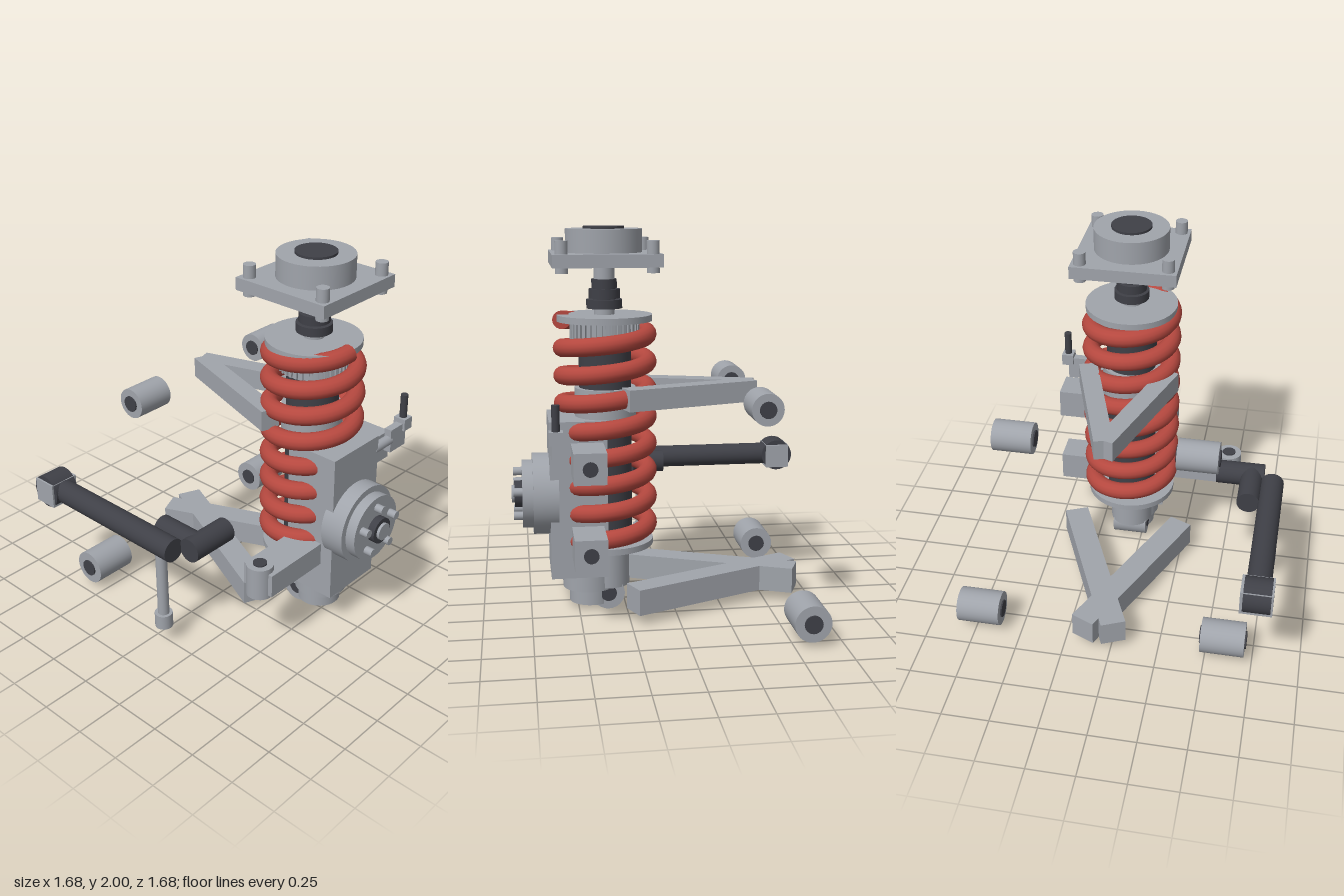
import * as THREE from 'three';

const steel = new THREE.MeshStandardMaterial({ color: 0xa0a4ab });
steel.name = 'steel grey';
const rubber = new THREE.MeshStandardMaterial({ color: 0x3f4047 });
rubber.name = 'dark rubber';
const red = new THREE.MeshStandardMaterial({ color: 0xb5483f });
red.name = 'spring red';

// strut axis position
const SX = 0.345, SZ = -0.066;

export function createModel() {
  const root = new THREE.Group();
  root.name = 'suspensionCorner';

  const add = (name, geo, mat, x = 0, y = 0, z = 0, parent = root) => {
    const m = new THREE.Mesh(geo, mat);
    m.name = name;
    m.position.set(x, y, z);
    parent.add(m);
    return m;
  };
  // box given by its minimum and maximum on each axis
  const box = (name, mat, x0, x1, y0, y1, z0, z1) =>
    add(name, new THREE.BoxGeometry(x1 - x0, y1 - y0, z1 - z0), mat,
      (x0 + x1) / 2, (y0 + y1) / 2, (z0 + z1) / 2);
  // cylinder from a to b along an axis; (u, v) are the other two coordinates in x, y, z order
  const cyl = (name, mat, axis, r, a, b, u, v, seg = 32) => {
    const g = new THREE.CylinderGeometry(r, r, b - a, seg);
    const c = (a + b) / 2;
    if (axis === 'x') return add(name, g.rotateZ(-Math.PI / 2), mat, c, u, v);
    if (axis === 'z') return add(name, g.rotateX(Math.PI / 2), mat, u, v, c);
    return add(name, g, mat, u, c, v);
  };
  const onStrut = (name, mat, r, y0, y1) => cyl(name, mat, 'y', r, y0, y1, SX, SZ, 40);

  // top mount
  box('mountPlate', steel, SX - 0.272, SX + 0.272, 1.805, 1.87, SZ - 0.272, SZ + 0.272);
  onStrut('mountHousing', steel, 0.195, 1.87, 1.988);
  onStrut('mountBearing', rubber, 0.105, 1.9, 2.0);
  for (const sx of [-1, 1]) for (const sz of [-1, 1])
    cyl('mountBolt', steel, 'y', 0.032, 1.777, 1.936, SX + sx * 0.225, SZ + sz * 0.225, 20);

  // damper
  onStrut('damperRod', steel, 0.053, 1.5, 1.81);
  [[0.092, 1.586, 1.632], [0.08, 1.638, 1.685], [0.065, 1.69, 1.735]]
    .forEach(([r, a, b]) => onStrut('bumpStop', rubber, r, a, b));
  onStrut('bumpStopCore', rubber, 0.06, 1.586, 1.735);
  onStrut('upperSpringSeat', steel, 0.245, 1.522, 1.555);
  onStrut('lowerSpringSeat', steel, 0.245, 0.34, 0.372);
  onStrut('damperBody', rubber, 0.135, 0.32, 1.4);
  onStrut('damperFoot', steel, 0.118, 0.12, 0.32);
  onStrut('damperClamp', steel, 0.158, 1.0, 1.18);

  // adjuster collar with grip ribs
  onStrut('adjusterCollar', steel, 0.168, 1.385, 1.522);
  const ribs = new THREE.Group();
  ribs.name = 'collarRibs';
  root.add(ribs);
  for (let i = 0; i < 36; i++) {
    const a = (i / 36) * Math.PI * 2;
    const rib = add('collarRib', new THREE.BoxGeometry(0.018, 0.13, 0.015), steel,
      SX + Math.cos(a) * 0.17, 1.455, SZ + Math.sin(a) * 0.17, ribs);
    rib.rotation.y = -a;
  }

  // damper eye
  cyl('damperEye', steel, 'z', 0.085, SZ - 0.095, SZ + 0.095, SX, 0.087);
  cyl('damperEyeBush', rubber, 'z', 0.042, SZ - 0.1, SZ + 0.1, SX, 0.087);

  // coil spring, eight turns, with flat ends
  class Helix extends THREE.Curve {
    getPoint(t, out = new THREE.Vector3()) {
      const a = t * 16 * Math.PI;
      return out.set(SX + 0.22 * Math.cos(a), 0.385 + 1.143 * t, SZ - 0.22 * Math.sin(a));
    }
  }
  const helix = new Helix();
  add('coilSpring', new THREE.TubeGeometry(helix, 400, 0.047, 14), red);
  for (const t of [0, 1]) {
    const cap = add('springEnd', new THREE.CircleGeometry(0.047, 20), red);
    const p = helix.getPoint(t);
    const dir = helix.getTangent(t).multiplyScalar(t ? 1 : -1);
    cap.position.copy(p);
    cap.quaternion.setFromUnitVectors(new THREE.Vector3(0, 0, 1), dir);
  }

  // knuckle with lower ball joint
  box('knuckle', steel, 0.35, 0.645, 0.205, 1.03, -0.24, 0.117);
  cyl('ballJointCollar', steel, 'y', 0.14, 0.11, 0.21, 0.44, -0.062);
  cyl('ballJointCup', steel, 'y', 0.115, 0.03, 0.11, 0.43, -0.062);

  // wheel hub
  const HY = 0.62, HZ = -0.06;
  cyl('hubFlange', steel, 'x', 0.212, 0.6, 0.73, HY, HZ, 48);
  cyl('hubFace', steel, 'x', 0.178, 0.73, 0.785, HY, HZ, 48);
  cyl('hubSeal', rubber, 'x', 0.07, 0.78, 0.825, HY, HZ);
  cyl('hubSpindle', steel, 'x', 0.046, 0.78, 0.84, HY, HZ);
  for (let i = 0; i < 5; i++) {
    const a = Math.PI / 2 + (i / 5) * Math.PI * 2;
    cyl('wheelStud', steel, 'x', 0.022, 0.78, 0.83, HY + Math.sin(a) * 0.122, HZ + Math.cos(a) * 0.122, 16);
  }

  // steering arm
  box('steeringArm', steel, 0.39, 0.575, 0.39, 0.515, 0.11, 0.5);
  cyl('steeringArmBoss', steel, 'y', 0.07, 0.37, 0.545, 0.483, 0.485);
  cyl('steeringArmBush', rubber, 'y', 0.036, 0.365, 0.552, 0.483, 0.485);

  // caliper brackets
  for (const y of [0.4, 0.84]) {
    box('caliperBracket', steel, 0.372, 0.537, y - 0.08, y + 0.08, -0.487, -0.23);
    cyl('caliperBolt', rubber, 'z', 0.038, -0.497, -0.45, 0.455, y, 24);
  }

  // speed sensor
  cyl('sensorStem', steel, 'z', 0.027, -0.37, -0.23, 0.62, 0.945, 20);
  box('sensorBody', steel, 0.6, 0.642, 0.88, 1.01, -0.485, -0.355);
  box('sensorHead', steel, 0.585, 0.655, 0.97, 1.035, -0.52, -0.455);
  cyl('sensorCable', rubber, 'y', 0.02, 1.03, 1.165, 0.62, -0.488, 16);

  // control arms: mirrored pairs of bars, from (x0, d0) to (x1, d1), d measured from the strut plane
  const armPair = (name, x0, d0, x1, d1, width, y0, y1) => {
    const g = new THREE.Group();
    g.name = name;
    root.add(g);
    for (const s of [-1, 1]) {
      const dx = x1 - x0, dz = s * (d1 - d0);
      const bar = add(name + 'Bar', new THREE.BoxGeometry(Math.hypot(dx, dz), y1 - y0, width), steel,
        (x0 + x1) / 2, (y0 + y1) / 2, SZ + s * (d0 + d1) / 2, g);
      bar.rotation.y = -Math.atan2(dz, dx);
    }
  };
  armPair('lowerControlArm', -0.66, -0.083, 0.237, 0.311, 0.133, 0.057, 0.192);
  armPair('upperControlArm', -0.433, 0, 0.26, 0.226, 0.1, 1.09, 1.2);

  // arm bushings
  const bushing = (x, y, r, rIn, z0, z1) => {
    cyl('bushingSleeve', steel, 'z', r, z0, z1, x, y);
    cyl('bushingCore', rubber, 'z', rIn, z0 - 0.008, z1 + 0.008, x, y, 24);
  };
  bushing(-0.392, 1.14, 0.08, 0.042, 0.3, 0.505);
  bushing(-0.392, 1.14, 0.08, 0.042, -0.632, -0.428);
  bushing(-0.586, 0.124, 0.092, 0.046, 0.477, 0.708);
  bushing(-0.586, 0.124, 0.092, 0.046, -0.838, -0.608);

  // anti-roll bar pieces and end joint
  cyl('mainBar', rubber, 'x', 0.063, -0.72, 0.153, 0.607, 0.757);
  cyl('innerBar', rubber, 'x', 0.062, -0.047, 0.21, 0.607, 0.641);
  cyl('barReturn', rubber, 'z', 0.064, 0.445, 0.708, 0.21, 0.607);
  cyl('barEndJoint', rubber, 'z', 0.09, 0.69, 0.828, -0.752, 0.607);
  box('barEndClamp', steel, -0.82, -0.685, 0.535, 0.67, 0.675, 0.838);

  // drop link
  cyl('dropLink', steel, 'y', 0.03, 0.18, 0.57, 0.07, 0.767, 20);
  cyl('dropLinkEnd', steel, 'y', 0.047, 0.112, 0.192, 0.07, 0.767, 24);

  return root;
}
